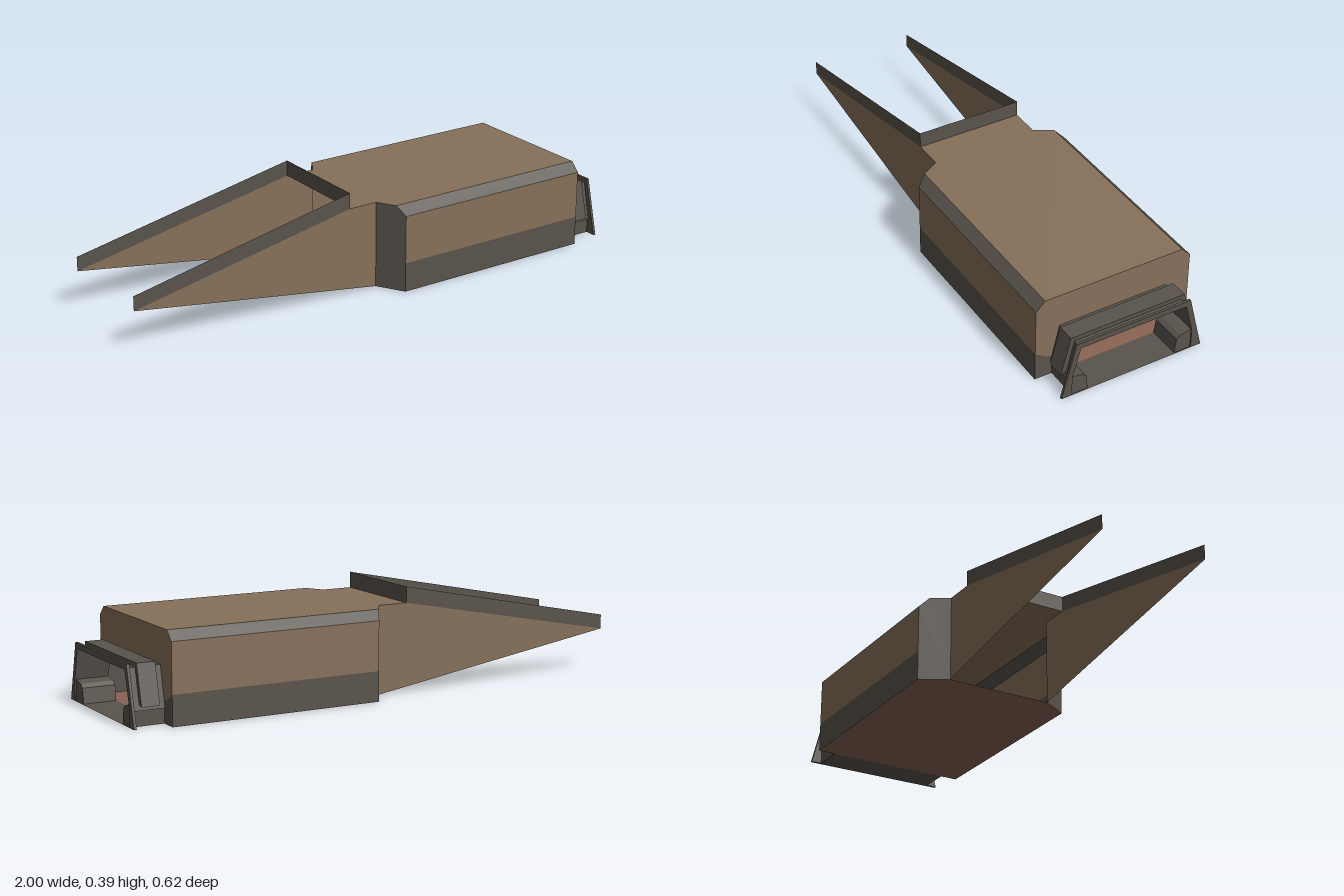
import * as THREE from 'three';

const material = (color) => new THREE.MeshStandardMaterial({ color, side: THREE.DoubleSide, flatShading: true });

// Mirror a half outline of [z, y] points into a full, closed one
const mirrored = (half) => [...half, ...half.map(([z, y]) => [-z, y]).reverse()];

const toShape = (points) => new THREE.Shape(points.map(([z, y]) => new THREE.Vector2(z, y)));

export function createModel() {
  const model = new THREE.Group();
  const brown = material(0x86705a);
  const dark = material(0x59534c);
  const clay = material(0x8a6353);

  const add = (name, geometry, mat) => {
    const mesh = new THREE.Mesh(geometry, mat);
    mesh.name = name;
    model.add(mesh);
    return mesh;
  };

  // Thin convex panel from 3D corners
  const panel = (name, corners, mat) => {
    const tris = [];
    for (let i = 1; i < corners.length - 1; i++) tris.push(...corners[0], ...corners[i], ...corners[i + 1]);
    const geometry = new THREE.BufferGeometry();
    geometry.setAttribute('position', new THREE.Float32BufferAttribute(tris, 3));
    geometry.computeVertexNormals();
    return add(name, geometry, mat);
  };

  // Flat cross-section facing +x, and the same extruded along x
  const section = (name, points, x, mat) =>
    add(name, new THREE.ShapeGeometry(toShape(points)).rotateY(Math.PI / 2).translate(x, 0, 0), mat);
  const extrude = (name, points, x0, x1, mat) =>
    add(name, new THREE.ExtrudeGeometry(toShape(points), { depth: x1 - x0, bevelEnabled: false })
      .rotateY(Math.PI / 2).translate(x0, 0, 0), mat);

  const N = 0.207, W = 0.31, R = 0.275;   // half widths: neck, body, flat roof
  const H = 0.33, E = 0.295, B = 0.112;   // heights: roof, eave, lower band
  const X0 = 0.06, X1 = 0.87;             // straight part of the body
  const XR = 0.04, XN = -0.115;           // roof corner, neck end

  // Roof and floor
  panel('roof', [[X1, H, R], [X1, H, -R], [XR, H, -R], [0, H, -N], [0, H, N], [XR, H, R]], brown);
  panel('neckRoof', [[0, H, N], [0, H, -N], [XN, H, -N], [XN, H, N]], brown);
  panel('floor', [[X1, 0, W], [X0, 0, W], [0, 0, N], [0, 0, -N], [X0, 0, -W], [X1, 0, -W]], clay);

  for (const s of [1, -1]) {
    // Body side: roof bevel, wall, lower band and slanted shoulder
    panel('roofBevel', [[X0, E, s * W], [X1, E, s * W], [X1, H, s * R], [XR, H, s * R]], dark);
    panel('sideWall', [[X0, B, s * W], [X1, B, s * W], [X1, E, s * W], [X0, E, s * W]], brown);
    panel('lowerBand', [[X0, 0, s * W], [X1, 0, s * W], [X1, B, s * W], [X0, B, s * W]], dark);
    panel('shoulder', [[0, 0, s * N], [X0, 0, s * W], [X0, E, s * W], [XR, H, s * R], [0, H, s * N]], dark);

    // Tapered fin with its dark upper edge
    panel('fin', [[0, 0, s * N], [0, H, s * N], [XN, H, s * N], [-1, 0.155, s * N]], brown);
    panel('finEdge', [[-1, 0.155, s * N], [XN, H, s * N], [XN, 0.39, s * N], [-1, 0.21, s * N]], dark);

    // Dark lower corner of the end wall and the hooked foot of the coupling
    section('endCorner', [[W, 0], [W, B], [0.264, 0.082], [0.243, 0.078], [0.243, 0]]
      .map(([z, y]) => [s * z, y]), X1, dark);
    extrude('couplingFoot', [[0.243, 0], [0.243, 0.078], [0.2, 0.07], [0.184, 0.057], [0.177, 0]]
      .map(([z, y]) => [s * z, y]), X1, 0.995, dark);
    // Outer lower leg of the front flange
    extrude('flangeFoot', [[0.284, 0], [0.264, 0.078], [0.243, 0.078], [0.243, 0]]
      .map(([z, y]) => [s * z, y]), 0.99, 1, dark);
  }
  panel('crossEdge', [[XN, H, N], [XN, 0.39, N], [XN, 0.39, -N], [XN, H, -N]], dark);

  // End wall around the dovetail opening
  const inner = [[0.212, 0.195], [0.243, 0.078]];
  const arch = (outer) => [...mirrored(outer), ...mirrored(inner.slice().reverse())
    .map(([z, y]) => [-z, y])];
  section('endWall', arch([[0.264, 0.082], [W, B], [W, E], [R, H]]), X1, brown);

  // Coupling: arches of alternating size, ending in a thin flange
  const narrow = [[0.249, 0.055], [0.216, 0.201]];
  const wide = [[0.266, 0.07], [0.229, 0.217]];
  extrude('couplingNeck', arch(narrow), X1, 0.99, dark);
  extrude('couplingRib', arch(wide), 0.895, 0.963, dark);
  extrude('couplingFlange', arch([[0.264, 0.078], [0.229, 0.217]]), 0.99, 1, dark);
  panel('couplingFloor', [[X1, 0, 0.243], [1, 0, 0.243], [1, 0, -0.243], [X1, 0, -0.243]], dark);

  return model;
}
